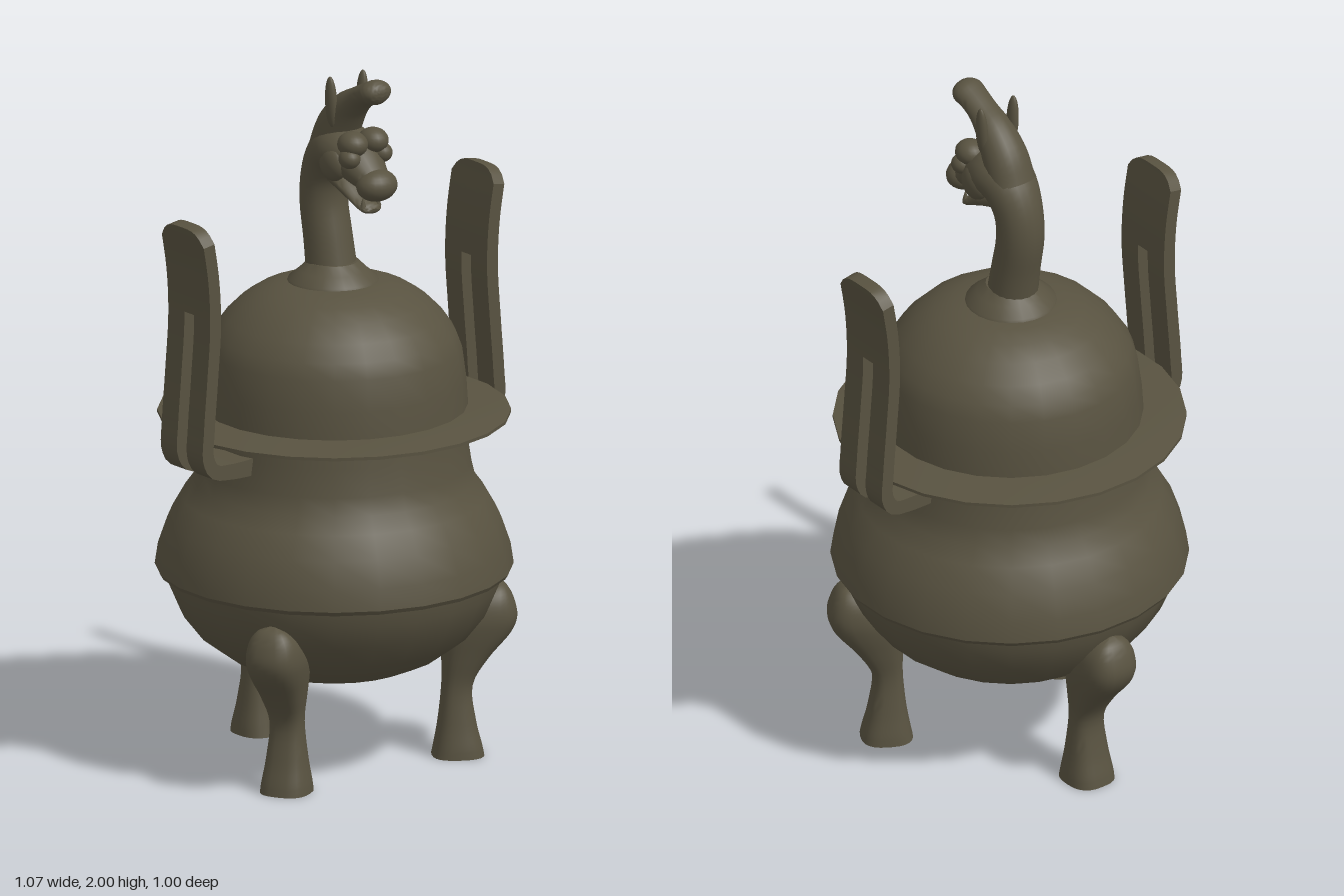
import * as THREE from 'three';
import { toCreasedNormals } from 'three/addons/utils/BufferGeometryUtils.js';

const bronze = new THREE.MeshStandardMaterial({ color: 0x585240 });
bronze.name = 'dark bronze';

function add(parent, name, geometry, x = 0, y = 0, z = 0) {
  const mesh = new THREE.Mesh(geometry, bronze);
  mesh.name = name;
  mesh.position.set(x, y, z);
  parent.add(mesh);
  return mesh;
}

// Turned part from [radius, y] pairs
function turned(profile, segments = 24) {
  const points = profile.map(([r, y]) => new THREE.Vector2(r, y));
  const g = new THREE.LatheGeometry(points, segments, Math.PI / segments);
  return toCreasedNormals(g, 0.6);
}

// Smooth body through oval sections [y, z, halfWidth, halfDepth];
// upright keeps the sections level, power below 1 makes them squarer
function loft(sections, { steps = 4, sides = 20, upright = false, power = 1 } = {}) {
  const spline = (f) => new THREE.CatmullRomCurve3(sections.map(f), false, 'catmullrom', 0.5);
  const path = spline(([y, z]) => new THREE.Vector3(0, y, z));
  const size = spline(([, , w, d]) => new THREE.Vector3(w, d, 0));
  const rows = (sections.length - 1) * steps;
  const pos = [], index = [];
  const bend = (v) => Math.sign(v) * Math.abs(v) ** power;
  const xAxis = new THREE.Vector3(1, 0, 0);
  for (let i = 0; i <= rows; i++) {
    const c = path.getPoint(i / rows), s = size.getPoint(i / rows);
    const t = upright ? new THREE.Vector3(0, 1, 0) : path.getTangent(i / rows);
    const v = t.clone().cross(xAxis);
    for (let j = 0; j < sides; j++) {
      const a = (j / sides) * Math.PI * 2;
      const w = s.x * bend(Math.cos(a)), d = s.y * bend(Math.sin(a));
      pos.push(w, c.y + v.y * d, c.z + v.z * d);
      if (i < rows) {
        const k = i * sides + j, n = i * sides + (j + 1) % sides;
        index.push(k, n, n + sides, k, n + sides, k + sides);
      }
    }
  }
  // End caps
  const first = pos.length / 3, last = rows * sides;
  const a = path.getPoint(0), b = path.getPoint(1);
  pos.push(a.x, a.y, a.z, b.x, b.y, b.z);
  for (let j = 0; j < sides; j++) {
    const n = (j + 1) % sides;
    index.push(first, n, j, first + 1, last + j, last + n);
  }
  const g = new THREE.BufferGeometry();
  g.setAttribute('position', new THREE.Float32BufferAttribute(pos, 3));
  g.setIndex(index);
  return toCreasedNormals(g, 0.9);
}

function ellipsoid(rx, ry, rz) {
  return new THREE.SphereGeometry(1, 20, 14).scale(rx, ry, rz);
}

// Bar bent along the handle curve, from u0 to u1 and from z0 to z1
const handleCurve = new THREE.CatmullRomCurve3([
  [0.33, 0.925], [0.43, 0.924], [0.485, 0.933], [0.508, 0.97], [0.506, 1.05],
  [0.494, 1.2], [0.484, 1.35], [0.49, 1.48], [0.514, 1.63],
].map(([x, y]) => new THREE.Vector3(x, y, 0)));

function handleBar(u0, u1, z0, z1, rounded = false) {
  const g = new THREE.BoxGeometry(u1 - u0, 1, z1 - z0, 28, 1, 12);
  g.translate((u0 + u1) / 2, 0, (z0 + z1) / 2);
  const p = g.attributes.position;
  for (let i = 0; i < p.count; i++) {
    const z = p.getZ(i);
    let u = p.getX(i);
    if (rounded) u -= 0.05 * Math.abs(z / 0.095) ** 4 * (u - u0) / (u1 - u0);
    u = THREE.MathUtils.clamp(u, 0, 1);
    const c = handleCurve.getPointAt(u), t = handleCurve.getTangentAt(u);
    const offset = p.getY(i) * THREE.MathUtils.lerp(0.05, 0.038, Math.min(u * 4, 1));
    p.setXYZ(i, c.x - t.y * offset, c.y + t.x * offset, z);
  }
  return toCreasedNormals(g, 0.6);
}

export function createModel() {
  const model = new THREE.Group();
  model.name = 'tripodCenser';

  // Bowl with its belly ledge
  add(model, 'bowl', turned([
    [0, 0.28], [0.22, 0.28], [0.3, 0.315], [0.375, 0.37], [0.43, 0.44], [0.46, 0.51],
    [0.467, 0.553], [0.49, 0.553], [0.497, 0.565], [0.488, 0.625], [0.462, 0.7],
    [0.425, 0.765], [0.392, 0.81], [0.38, 0.86], [0.368, 0.94], [0.362, 1.005], [0, 1.005],
  ]), 0, 0, 0.01);

  // Wide thin brim, domed lid and collar
  add(model, 'brim', turned([
    [0, 1.0], [0.49, 1.0], [0.49, 1.009], [0.37, 1.025], [0, 1.025],
  ]), 0, 0, 0.01);
  add(model, 'lid', turned([
    [0.371, 1.02], [0.366, 1.1], [0.354, 1.19], [0.337, 1.235], [0.305, 1.28],
    [0.26, 1.325], [0.21, 1.357], [0.16, 1.376], [0.11, 1.385], [0, 1.39],
  ]), 0, 0, 0.01);
  add(model, 'collar', turned([
    [0.13, 1.375], [0.125, 1.388], [0.095, 1.412], [0.07, 1.437], [0, 1.437],
  ]), 0, 0, 0.005);

  // Three cabriole legs: [y, inner radius, outer radius, half width]
  const legSections = [
    [0, 0.272, 0.418, 0.07], [0.03, 0.278, 0.412, 0.067], [0.1, 0.29, 0.395, 0.056],
    [0.2, 0.3, 0.385, 0.047], [0.28, 0.3, 0.43, 0.06], [0.35, 0.3, 0.49, 0.074],
    [0.4, 0.32, 0.51, 0.079], [0.45, 0.36, 0.5, 0.07], [0.485, 0.41, 0.48, 0.045],
    [0.503, 0.444, 0.452, 0.006],
  ].map(([y, a, b, w]) => [y, (a + b) / 2, w, (b - a) / 2]);
  const legGeometry = loft(legSections, { upright: true, power: 0.75, sides: 24 });
  ['leftLeg', 'backLeg', 'rightLeg'].forEach((name, i) => {
    add(model, name, legGeometry, 0, 0, 0.01).rotation.y = Math.PI * (1 + 2 * i) / 3;
  });

  // Slotted upright handles
  const handleParts = [
    ['handleTop', handleBar(0.7, 1, -0.095, 0.095, true)],
    ['handleRail', handleBar(0.16, 0.7, 0.022, 0.095)],
    ['handleRail', handleBar(0.16, 0.7, -0.095, -0.022)],
    ['handleArm', handleBar(0, 0.16, -0.095, 0.095)],
  ];
  for (const side of ['left', 'right']) {
    const handle = new THREE.Group();
    handle.name = side + 'Handle';
    handle.position.z = 0.005;
    if (side === 'right') handle.rotation.y = Math.PI;
    handleParts.forEach(([name, g]) => add(handle, name, g));
    model.add(handle);
  }

  // Beast finial: neck bending forward into the head
  const beast = new THREE.Group();
  beast.name = 'beastFinial';
  model.add(beast);
  add(beast, 'neckAndHead', loft([
    [1.4, 0.0, 0.072, 0.072], [1.5, -0.018, 0.069, 0.068], [1.6, -0.037, 0.068, 0.066],
    [1.68, -0.03, 0.07, 0.066], [1.745, 0.005, 0.08, 0.07], [1.77, 0.055, 0.088, 0.073],
    [1.755, 0.11, 0.078, 0.062], [1.722, 0.165, 0.06, 0.046], [1.7, 0.205, 0.045, 0.03],
  ]));
  add(beast, 'snout', ellipsoid(0.062, 0.045, 0.05), 0, 1.698, 0.203);
  add(beast, 'lowerJaw', loft([
    [1.7, 0.03, 0.05, 0.03], [1.675, 0.09, 0.05, 0.024], [1.645, 0.14, 0.042, 0.016],
    [1.625, 0.178, 0.034, 0.013], [1.622, 0.192, 0.015, 0.006],
  ]));

  // Crest curling forward over the brow
  add(beast, 'crest', loft([
    [1.76, 0.0, 0.07, 0.06], [1.83, 0.03, 0.066, 0.06], [1.89, 0.075, 0.056, 0.05],
    [1.93, 0.125, 0.046, 0.036], [1.955, 0.17, 0.046, 0.033], [1.965, 0.2, 0.048, 0.035],
    [1.966, 0.222, 0.034, 0.024], [1.966, 0.231, 0.008, 0.006],
  ]));

  for (const s of [1, -1]) {
    add(beast, 'brow', ellipsoid(0.042, 0.036, 0.045), s * 0.036, 1.808, 0.14);
    add(beast, 'eye', ellipsoid(0.03, 0.028, 0.032), s * 0.056, 1.772, 0.152);
    add(beast, 'cheek', ellipsoid(0.03, 0.05, 0.05), s * 0.062, 1.745, 0.085);
    add(beast, 'fang', new THREE.ConeGeometry(0.009, 0.035, 8), s * 0.026, 1.648, 0.175);
    const ear = add(beast, 'ear', ellipsoid(0.015, 0.075, 0.02), s * 0.054, 1.915, 0.066);
    ear.rotation.z = -s * 0.05;
  }
  return model;
}
